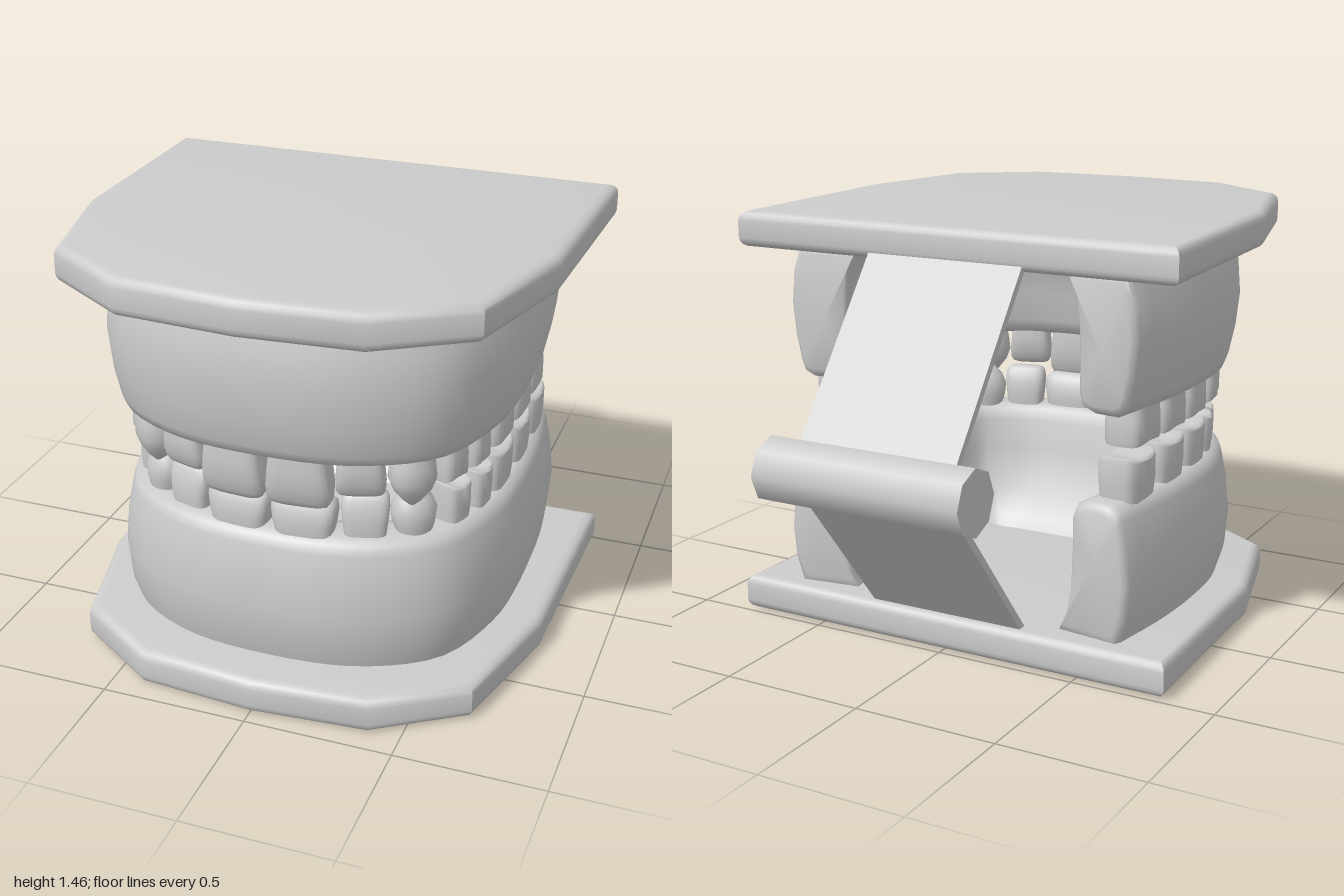
import * as THREE from 'three';
import { toCreasedNormals } from 'three/addons/utils/BufferGeometryUtils.js';

const grey = new THREE.MeshStandardMaterial({ color: 0xcccccc });

function add(parent, name, geometry) {
  const mesh = new THREE.Mesh(geometry, grey);
  mesh.name = name;
  parent.add(mesh);
  return mesh;
}

// Closed skin over a row of equal-length rings, capped at both ends
function loft(rings, crease) {
  const n = rings[0].length;
  const pts = rings.flat();
  const idx = [];
  for (let r = 0; r < rings.length - 1; r++) {
    for (let i = 0; i < n; i++) {
      const a = r * n + i, b = r * n + (i + 1) % n;
      idx.push(a, b, b + n, a, b + n, a + n);
    }
  }
  [0, rings.length - 1].forEach((r) => {
    const centre = new THREE.Vector3();
    rings[r].forEach((p) => centre.addScaledVector(p, 1 / n));
    pts.push(centre);
    const c = pts.length - 1;
    for (let i = 0; i < n; i++) {
      const a = r * n + i, b = r * n + (i + 1) % n;
      if (r === 0) idx.push(c, b, a); else idx.push(c, a, b);
    }
  });
  // Turn the skin outwards if its enclosed volume is negative
  let volume = 0;
  for (let i = 0; i < idx.length; i += 3) {
    volume += pts[idx[i]].dot(pts[idx[i + 1]].clone().cross(pts[idx[i + 2]]));
  }
  if (volume < 0) idx.reverse();
  const g = new THREE.BufferGeometry().setFromPoints(pts);
  g.setIndex(idx);
  return toCreasedNormals(g, crease);
}

// Base plate: squared back, faceted front, rounded rim
function plateGeometry() {
  const half = [[0.82, -0.45], [0.8, 0.33], [0.685, 0.775], [0.395, 0.965]];
  const outline = [...half, [0, 0.995], ...half.map(([x, z]) => [-x, z]).reverse()];
  const shape = new THREE.Shape(outline.map(([x, z]) => new THREE.Vector2(x, z)));
  const g = new THREE.ExtrudeGeometry(shape, {
    depth: 0.06, bevelThickness: 0.033, bevelSize: 0.035, bevelOffset: -0.035, bevelSegments: 4,
  });
  g.translate(0, 0, -0.03).rotateX(Math.PI / 2);
  return toCreasedNormals(g, 0.7);
}

// Horseshoe gum: section [outward offset, height 0 at plate to 1 at teeth, front flare]
const gumSection = [
  [-0.04, 0, 0], [-0.01, 0.2, 0], [0, 0.45, 0], [-0.012, 0.7, 0], [-0.032, 0.9, 0],
  [-0.045, 0.97, 0], [-0.075, 1, 0], [-0.16, 1, 0], [-0.2, 0.97, 0], [-0.215, 0.88, 0],
  [-0.215, 0.65, 0.02], [-0.22, 0.35, 0.05], [-0.24, 0.12, 0.1], [-0.27, 0, 0.14],
];
function gumGeometry(yPlate, yTeeth, zShift) {
  const half = [[0.66, -0.36], [0.695, -0.1], [0.703, 0.15], [0.68, 0.4], [0.565, 0.68], [0.32, 0.83]];
  const path = new THREE.CatmullRomCurve3(
    [...half.map(([x, z]) => [-x, z]), [0, 0.87], ...half.slice().reverse()]
      .map(([x, z]) => new THREE.Vector3(x, 0, z + zShift)));
  const rings = [];
  const steps = 48;
  for (let i = 0; i <= steps; i++) {
    const p = path.getPointAt(i / steps), t = path.getTangentAt(i / steps);
    const normal = new THREE.Vector3(-t.z, 0, t.x);
    const front = Math.max(0, normal.z) ** 3;
    const ring = gumSection.map(([o, h, flare]) => {
      const v = p.clone().addScaledVector(normal, o - flare * front);
      v.y = yPlate + (yTeeth - yPlate) * h;
      return v;
    });
    // Slightly rounded back ends
    const end = (shrink, push) => {
      const c = new THREE.Vector3();
      ring.forEach((v) => c.addScaledVector(v, 1 / ring.length));
      return ring.map((v) => v.clone().lerp(c, shrink).addScaledVector(t, push));
    };
    if (i === 0) rings.push(end(0.16, -0.03), end(0.05, -0.02));
    rings.push(ring);
    if (i === steps) rings.push(end(0.05, 0.02), end(0.16, 0.03));
  }
  return loft(rings, 1);
}

// Tooth rings by kind: [height, width scale, depth scale]
const toothKinds = {
  incisor: [[0, 0.86, 0.9], [0.35, 0.94, 1], [0.65, 1, 0.9], [0.87, 0.98, 0.68], [0.96, 0.88, 0.52], [1, 0.7, 0.36]],
  canine: [[0, 0.75, 0.85], [0.25, 0.92, 1], [0.5, 1, 1], [0.7, 0.8, 0.8], [0.88, 0.42, 0.45], [1, 0.1, 0.12]],
  molar: [[0, 0.93, 0.93], [0.4, 1, 1], [0.85, 1, 1], [0.97, 0.96, 0.96], [1, 0.88, 0.88], [0.98, 0.5, 0.5]],
};
function toothGeometry(kind, width, depth, height) {
  const sides = 20;
  const power = kind === 'canine' ? 0.9 : 0.5;
  const soft = (v) => Math.sign(v) * Math.abs(v) ** power;
  const rings = toothKinds[kind].map(([h, sx, sz]) => Array.from({ length: sides }, (_, i) => {
    const a = (i / sides) * Math.PI * 2;
    const x = soft(Math.cos(a)) * sx, z = soft(Math.sin(a)) * sz;
    // Chewing faces dip between their corners
    const dip = kind === 'molar' && h > 0.9 ? 0.018 * (x * x - 1) : 0;
    return new THREE.Vector3(x * width / 2, h * height + dip, z * depth / 2);
  }));
  return loft(rings, 0.9);
}

// Half rows of teeth: [kind, width, depth, height, x, z, yaw]
const upperTeeth = [
  ['incisor', 0.215, 0.12, 0.2, 0.109, 0.752, 0.08],
  ['incisor', 0.16, 0.11, 0.155, 0.293, 0.705, 0.3],
  ['canine', 0.155, 0.14, 0.205, 0.437, 0.632, 0.7],
  ['molar', 0.11, 0.13, 0.145, 0.51, 0.52, 1.2],
  ['molar', 0.115, 0.14, 0.145, 0.545, 0.396, 1.4],
  ['molar', 0.18, 0.145, 0.15, 0.565, 0.207, 1.52],
  ['molar', 0.185, 0.145, 0.15, 0.572, 0.002, 1.57],
  ['molar', 0.185, 0.145, 0.15, 0.567, -0.2, 1.6],
];
const lowerTeeth = [
  ['incisor', 0.215, 0.12, 0.14, 0.109, 0.712, 0.08],
  ['incisor', 0.155, 0.11, 0.16, 0.295, 0.665, 0.3],
  ['canine', 0.15, 0.13, 0.18, 0.43, 0.59, 0.7],
  ['molar', 0.11, 0.13, 0.155, 0.51, 0.475, 1.2],
  ['molar', 0.115, 0.14, 0.155, 0.545, 0.355, 1.4],
  ['molar', 0.19, 0.145, 0.16, 0.565, 0.203, 1.52],
  ['molar', 0.195, 0.145, 0.16, 0.572, -0.01, 1.57],
  ['molar', 0.2, 0.145, 0.16, 0.567, -0.238, 1.6],
];
function toothRow(name, list, y, flip) {
  const row = new THREE.Group();
  row.name = name;
  list.forEach(([kind, w, d, h, x, z, yaw]) => {
    const geometry = toothGeometry(kind, w, d, h);
    if (flip) geometry.rotateZ(Math.PI);
    [1, -1].forEach((side) => {
      const tooth = add(row, (side > 0 ? 'left ' : 'right ') + kind, geometry);
      tooth.position.set(side * x, y, z);
      tooth.rotation.y = side * yaw;
    });
  });
  return row;
}

// Flat hinge strap between two [y, z] ends
function strap(parent, name, [y0, z0], [y1, z1]) {
  const mesh = add(parent, name, new THREE.BoxGeometry(0.575, 0.025, Math.hypot(y1 - y0, z1 - z0)));
  mesh.position.set(0, (y0 + y1) / 2, (z0 + z1) / 2);
  mesh.rotation.x = -Math.atan2(y1 - y0, z1 - z0);
}

export function createModel() {
  const model = new THREE.Group();
  model.name = 'dental model';

  // Plates
  const plate = plateGeometry();
  const top = add(model, 'upper plate', plate);
  top.position.set(0, 1.392, 0);
  top.rotation.x = -0.016;
  add(model, 'lower plate', plate).position.set(0, 0.069, -0.035);

  // Gums
  add(model, 'upper gum', gumGeometry(1.35, 0.872, 0));
  add(model, 'lower gum', gumGeometry(0.11, 0.592, -0.04));

  // Teeth
  model.add(toothRow('upper teeth', upperTeeth, 0.9, true));
  model.add(toothRow('lower teeth', lowerTeeth, 0.575, false));

  // Hinge
  strap(model, 'upper hinge strap', [1.345, -0.43], [0.74, -0.885]);
  strap(model, 'lower hinge strap', [0.12, -0.43], [0.67, -0.88]);
  const barrel = new THREE.CylinderGeometry(0.11, 0.11, 0.75, 8).rotateZ(Math.PI / 2);
  add(model, 'hinge barrel', barrel).position.set(0, 0.707, -0.89);

  return model;
}
